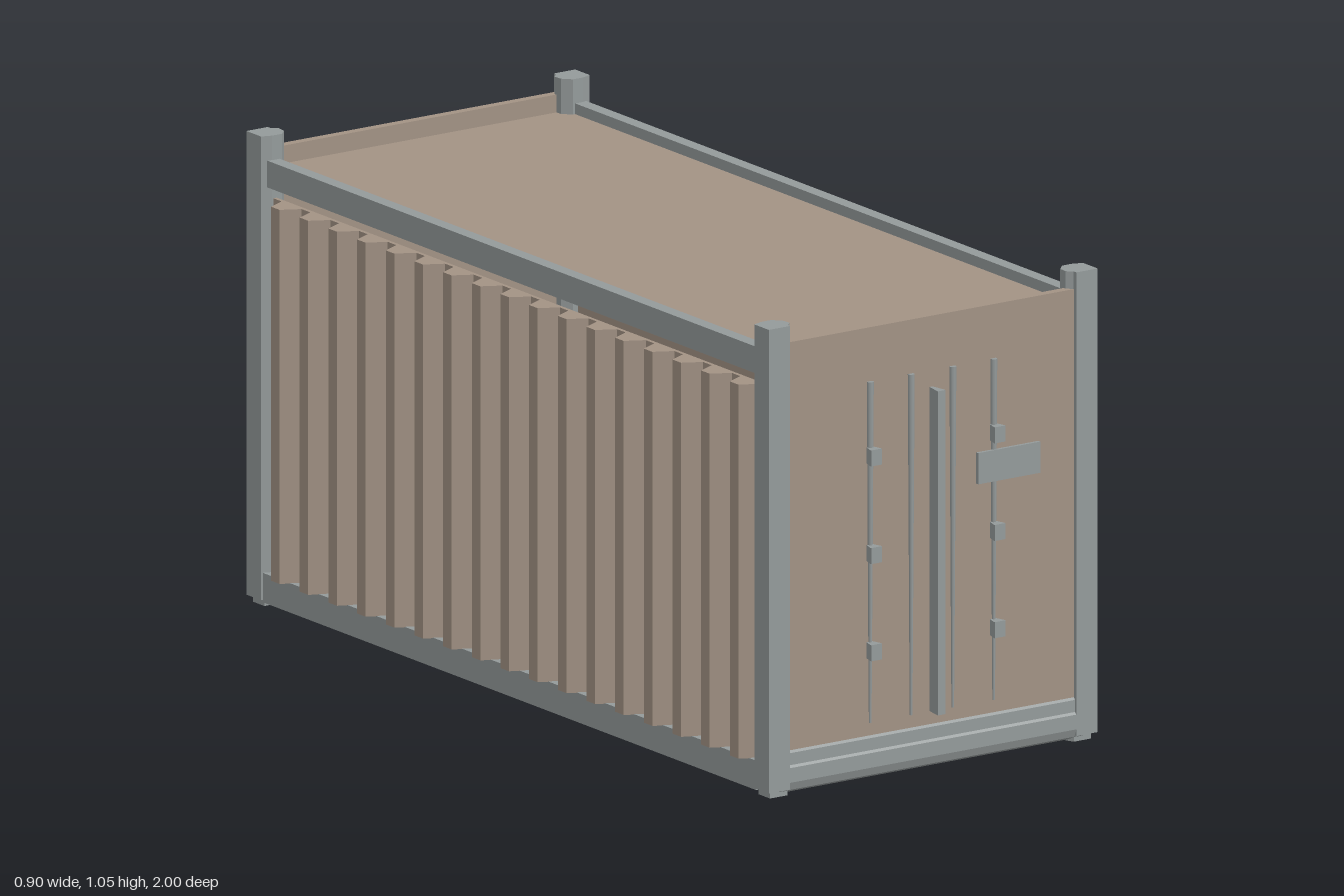
import * as THREE from 'three';

export function createModel() {
  const model = new THREE.Group();
  model.name = 'shippingContainer';
  const brown = new THREE.MeshStandardMaterial({ name: 'brownPanel', color: 0xa29284 });
  const grey = new THREE.MeshStandardMaterial({ name: 'greySteel', color: 0x949a9a });

  // The body sits slightly behind the origin so the door bars fit in front
  const body = new THREE.Group();
  body.name = 'body';
  body.position.z = -0.016;
  model.add(body);

  function add(name, geometry, material, x = 0, y = 0, z = 0) {
    const mesh = new THREE.Mesh(geometry, material);
    mesh.name = name;
    mesh.position.set(x, y, z);
    body.add(mesh);
    return mesh;
  }
  // Box given by its minimum and maximum corners
  function box(name, material, [x0, y0, z0], [x1, y1, z1]) {
    return add(name, new THREE.BoxGeometry(x1 - x0, y1 - y0, z1 - z0), material,
      (x0 + x1) / 2, (y0 + y1) / 2, (z0 + z1) / 2);
  }
  // Upright prism from a plan of [x, z] points
  function prism(plan, y0, y1) {
    const shape = new THREE.Shape(plan.map(([x, z]) => new THREE.Vector2(x, -z)));
    return new THREE.ExtrudeGeometry(shape, { depth: y1 - y0, bevelEnabled: false })
      .rotateX(-Math.PI / 2).translate(0, y0, 0);
  }

  // Corner posts with chamfered inner edges, plus bottom corner feet
  const postPlan = [[0.434, 0.984], [0.378, 0.984], [0.377, 0.975], [0.364, 0.962],
    [0.366, 0.94], [0.384, 0.921], [0.41, 0.921], [0.434, 0.929]];
  const footPlan = [[0.424, 0.974], [0.378, 0.974], [0.37, 0.955], [0.384, 0.93], [0.424, 0.93]];
  for (const sx of [-1, 1]) for (const sz of [-1, 1]) {
    const place = (plan) => plan.map(([x, z]) => [sx * x, sz * z]);
    add('cornerPost', prism(place(postPlan), 0.015, 1.055), grey);
    add('cornerFoot', prism(place(footPlan), 0, 0.015), grey);
  }

  // Corrugated side walls
  function wallPlan(side) {
    const pitch = 0.108, count = 17, outer = 0.45, base = 0.407;
    const plan = [[0.398 * side, 0.926], [0.398 * side, -0.926], [base * side, -0.926]];
    for (let i = 0; i < count; i++) {
      const z = (i - (count - 1) / 2) * pitch - side * 0.012;
      plan.push([base * side, z - 0.038], [outer * side, z - 0.016],
        [outer * side, z + 0.016], [base * side, z + 0.038]);
    }
    plan.push([base * side, 0.926]);
    return plan;
  }
  // Profile of the end sill, in [z, y]: rounded below, with a ledge above
  const sill = [[0.92, 0.004], [0.962, 0.004], [0.977, 0.012], [0.984, 0.03],
    [0.984, 0.063], [0.979, 0.068], [0.979, 0.095], [0.972, 0.108], [0.92, 0.108]];

  for (const s of [-1, 1]) {
    add('corrugatedWall', prism(wallPlan(s), 0.075, 0.914), brown);
    // Long rails at top and bottom
    const rail = (name, w0, w1, y0, y1) => box(name, grey,
      [Math.min(s * w0, s * w1), y0, -0.93], [Math.max(s * w0, s * w1), y1, 0.93]);
    rail('topRail', 0.39, 0.421, 0.94, 1.0);
    rail('bottomRail', 0.392, 0.43, 0.01, 0.076);
    rail('floorLedge', 0.37, 0.394, 0.025, 0.05);

    // End sill: profile extruded across the width
    const shape = new THREE.Shape(sill.map(([z, y]) => new THREE.Vector2(z, y)));
    const sillGeometry = new THREE.ExtrudeGeometry(shape, { depth: 0.8, bevelEnabled: false })
      .translate(0, 0, -0.4).rotateY(-s * Math.PI / 2);
    add('endSill', sillGeometry, grey);

    // End panel, almost flush with the posts
    box('endPanel', brown, [-0.385, 0.1, s * 0.966 - 0.01], [0.385, 1.016, s * 0.966 + 0.01]);
  }
  // Small lug on the front left post
  box('postLug', grey, [0.43, 0.945, 0.945], [0.437, 0.982, 0.965]);

  // Roof and floor
  box('roof', brown, [-0.392, 0.955, -0.96], [0.392, 0.976, 0.96]);
  box('floor', grey, [-0.395, 0.05, -0.93], [0.395, 0.07, 0.93]);

  // Door locking bars, tapering downwards
  for (const x of [-0.163, -0.055, 0.055, 0.163]) {
    add('lockingBar', new THREE.CylinderGeometry(0.008, 0.003, 0.765, 8), grey, x, 0.5125, 0.979);
  }
  // Plan of a flat-fronted bar that narrows towards the door
  const wedge = (x, half, root, front) => [[x - root, 0.97], [x - half, front - 0.004],
    [x - half, front], [x + half, front], [x + half, front - 0.004], [x + root, 0.97]];
  for (const x of [-0.163, 0.163]) for (const y of [0.73, 0.511, 0.293]) {
    add('barBracket', prism(wedge(x, 0.014, 0.006, 1.003), y - 0.018, y + 0.018), grey);
  }
  // Central door seam bar and handle plate
  add('doorSeamBar', prism(wedge(0, 0.01, 0.003, 1.016), 0.13, 0.857), grey);
  box('handlePlate', grey, [0.116, 0.622, 0.98], [0.28, 0.692, 0.988]);

  return model;
}
